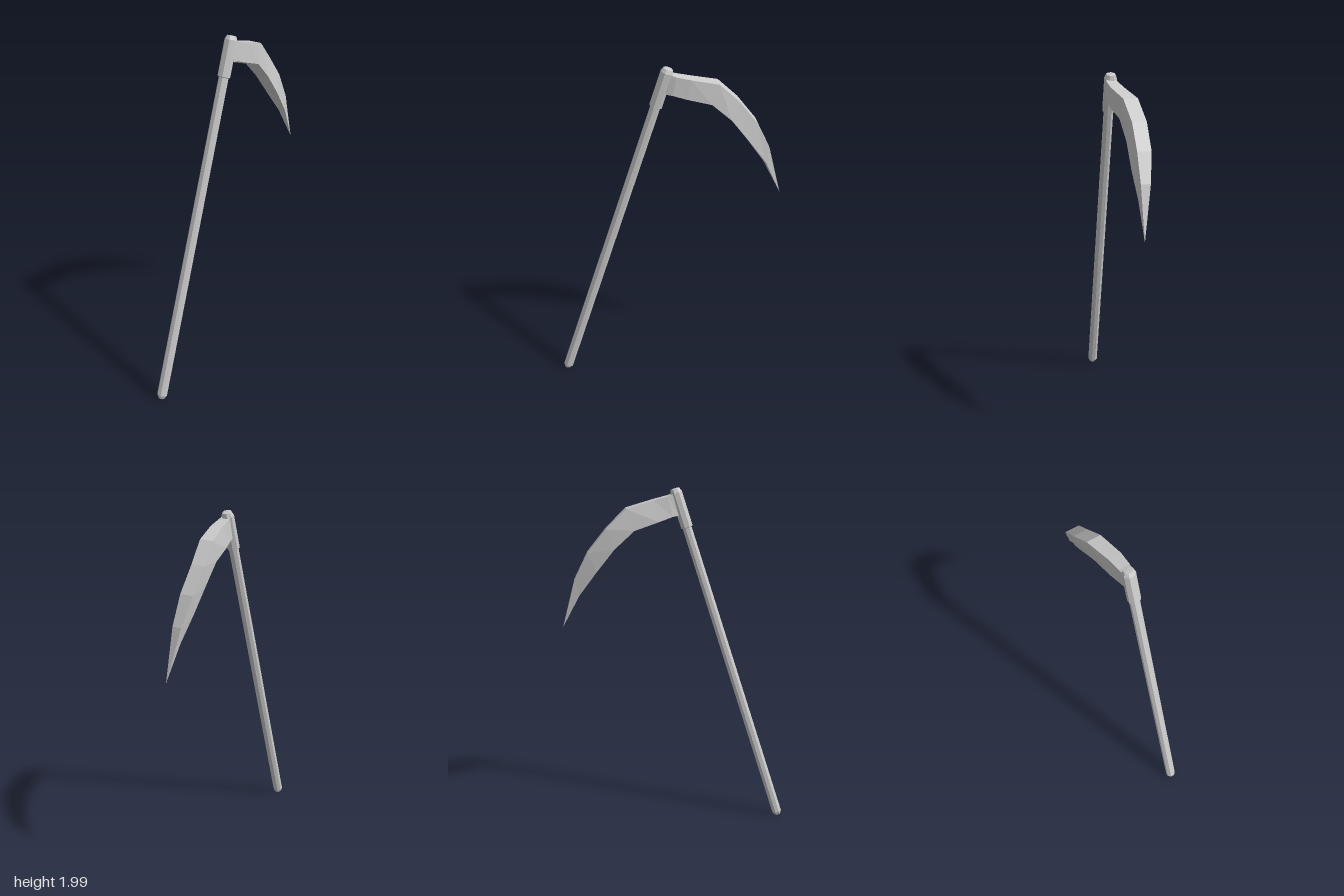
import * as THREE from 'three';

const material = new THREE.MeshStandardMaterial({ color: 0xcccccc, flatShading: true });

function addMesh(parent, name, geometry) {
  const mesh = new THREE.Mesh(geometry, material);
  mesh.name = name;
  parent.add(mesh);
  return mesh;
}

// Eight-sided turned part from [radius, height] pairs
function turned(profile) {
  return new THREE.LatheGeometry(profile.map(([r, y]) => new THREE.Vector2(r, y)), 8, Math.PI / 8);
}

// Skin four-cornered cross-sections into a closed solid ending in a point
function loft(sections, tip) {
  const position = [...sections.flat(2), ...tip];
  const index = [0, 1, 2, 0, 2, 3];
  const last = (sections.length - 1) * 4;
  for (let s = 0; s < sections.length - 1; s++) {
    for (let k = 0; k < 4; k++) {
      const a = s * 4 + k, b = s * 4 + (k + 1) % 4;
      index.push(a, a + 4, b, b, a + 4, b + 4);
    }
  }
  for (let k = 0; k < 4; k++) index.push(last + k, last + 4, last + (k + 1) % 4);
  const geometry = new THREE.BufferGeometry();
  geometry.setAttribute('position', new THREE.Float32BufferAttribute(position, 3));
  geometry.setIndex(index);
  const flat = geometry.toNonIndexed();
  flat.computeVertexNormals();
  return flat;
}

export function createModel() {
  const model = new THREE.Group();
  model.name = 'scythe';

  // Leaning pole, built upright and then tilted along its axis
  const bottom = new THREE.Vector3(0, 0.008, 0.622);
  const top = new THREE.Vector3(0.026, 1.993, -0.012);
  const axis = top.clone().sub(bottom);
  const length = axis.length();
  const pole = new THREE.Group();
  pole.name = 'pole';
  pole.position.copy(bottom);
  pole.quaternion.setFromUnitVectors(new THREE.Vector3(0, 1, 0), axis.normalize());
  model.add(pole);

  addMesh(pole, 'handle', turned([
    [0, 0], [0.018, 0.003], [0.029, 0.024], [0.027, length - 0.012], [0.02, length], [0, length],
  ]));

  // Socket that clamps the blade to the pole
  addMesh(pole, 'socket', turned([
    [0.026, length - 0.222], [0.035, length - 0.218], [0.035, length - 0.022],
    [0.026, length - 0.001], [0.008, length + 0.001], [0.006, length - 0.004], [0, length - 0.004],
  ]));

  // Blade: [spine z, spine y, spine left x, spine right x, edge z, edge y, edge left x, edge right x]
  const stations = [
    [-0.010, 1.970, 0.003, 0.050, 0.005, 1.855, 0.003, 0.050],
    [-0.050, 1.955, -0.004, 0.058, -0.030, 1.850, -0.006, 0.058],
    [-0.130, 1.935, -0.015, 0.056, -0.105, 1.825, -0.022, 0.056],
    [-0.280, 1.895, -0.050, 0.028, -0.240, 1.782, -0.042, 0.038],
    [-0.390, 1.790, -0.067, 0.011, -0.350, 1.683, -0.047, 0.030],
    [-0.495, 1.660, -0.062, 0.013, -0.450, 1.557, -0.036, 0.031],
    [-0.570, 1.510, -0.038, 0.014, -0.550, 1.422, -0.015, 0.022],
  ];
  const sections = stations.map(([sz, sy, sl, sr, ez, ey, el, er]) => [
    [sl, sy, sz], [sr, sy, sz], [er, ey + 0.004, ez - 0.003], [el, ey - 0.006, ez + 0.004],
  ].reverse());
  addMesh(model, 'blade', loft(sections, [0.012, 1.23, -0.645]));

  return model;
}
